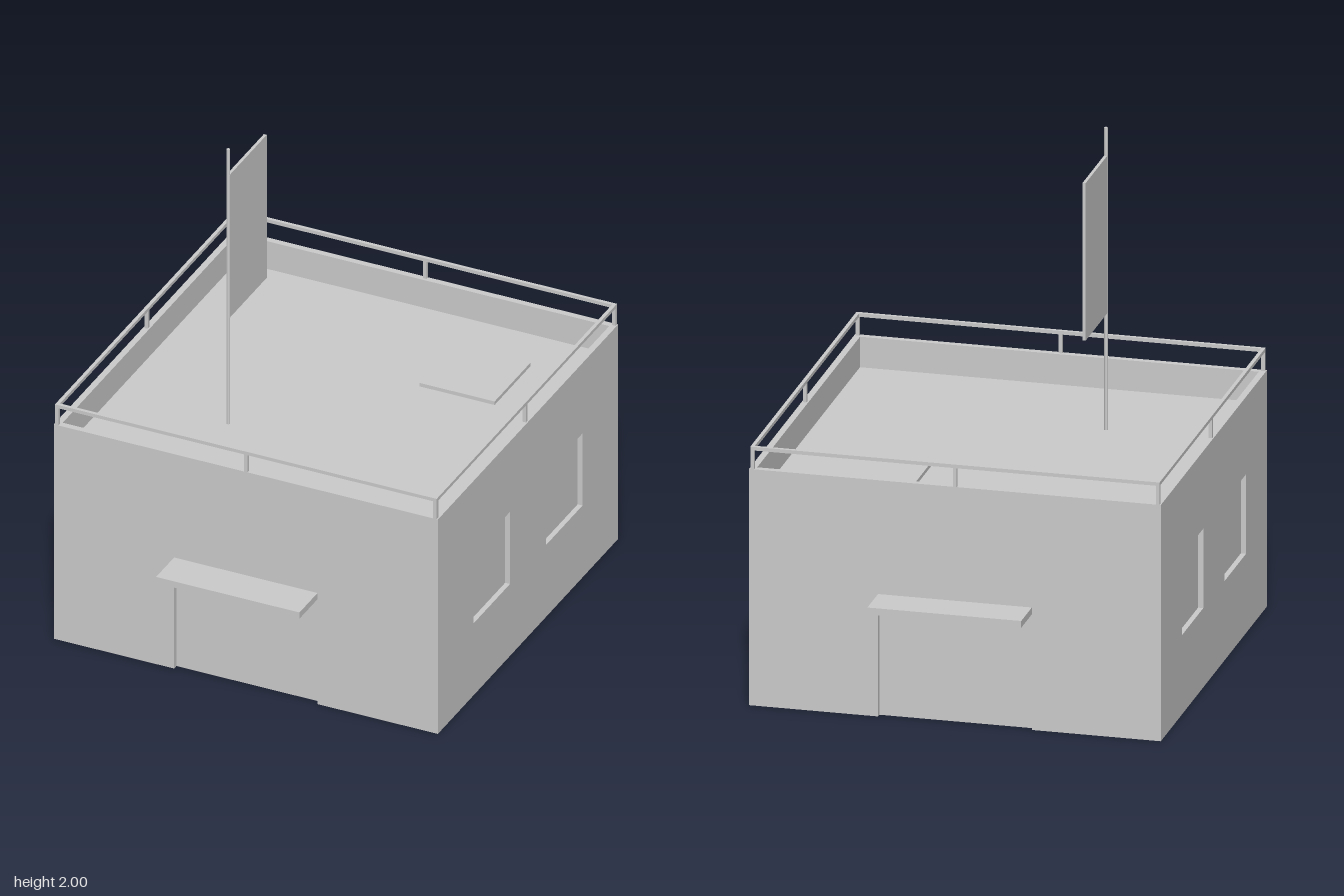
import * as THREE from 'three';

const X = 0.79, Z = 0.775;      // outer half sizes of the house
const H = 0.93, T = 0.025;      // wall height and thickness
const ROOF = 0.81, RECESS = 0.02;
const DOOR = { x: 0.295, y: 0.455 };
const RAIL = 0.014, RAIL_TOP = 1.018;

const grey = new THREE.MeshStandardMaterial({ color: 0xcccccc, flatShading: true });

function add(parent, name, geometry, x = 0, y = 0, z = 0) {
  const mesh = new THREE.Mesh(geometry, grey);
  mesh.name = name;
  mesh.position.set(x, y, z);
  parent.add(mesh);
  return mesh;
}

// Box given by its minimum and maximum corners
function box(parent, name, [x0, y0, z0], [x1, y1, z1]) {
  return add(parent, name, new THREE.BoxGeometry(x1 - x0, y1 - y0, z1 - z0),
    (x0 + x1) / 2, (y0 + y1) / 2, (z0 + z1) / 2);
}

// Wall slab whose outer face lies on local z = 0
function wall(parent, name, points, holes = []) {
  const shape = new THREE.Shape(points.map(([x, y]) => new THREE.Vector2(x, y)));
  for (const [x0, y0, x1, y1] of holes) {
    shape.holes.push(new THREE.Path([[x0, y0], [x0, y1], [x1, y1], [x1, y0]]
      .map(([x, y]) => new THREE.Vector2(x, y))));
  }
  const geometry = new THREE.ExtrudeGeometry(shape, { depth: T, bevelEnabled: false });
  geometry.translate(0, 0, -T);
  return add(parent, name, geometry);
}

// Wall with a recessed door and a canopy above it
function doorSide(name) {
  const side = new THREE.Group();
  side.name = name;
  const { x, y } = DOOR;
  wall(side, 'doorWall', [[-X, 0], [-x, 0], [-x, y], [x, y], [x, 0], [X, 0], [X, H], [-X, H]]);
  box(side, 'door', [-x, 0, -RECESS - T], [x, y, -RECESS]);
  box(side, 'canopy', [-x, y, 0], [x, y + 0.027, 0.155]);
  return side;
}

// Wall with two recessed windows
function windowSide(name) {
  const side = new THREE.Group();
  side.name = name;
  const w = Z - T;
  const windows = [[-0.468, 0.312, -0.155, 0.625], [0.155, 0.312, 0.468, 0.625]];
  wall(side, 'windowWall', [[-w, 0], [w, 0], [w, H], [-w, H]], windows);
  for (const [x0, y0, x1, y1] of windows) {
    box(side, 'windowPane', [x0, y0, -RECESS - T], [x1, y1, -RECESS]);
  }
  return side;
}

export function createModel() {
  const model = new THREE.Group();
  model.name = 'flatRoofHouse';

  // Four walls, open underneath
  for (const s of [1, -1]) {
    const doors = doorSide(s > 0 ? 'frontSide' : 'backSide');
    doors.position.z = s * Z;
    doors.rotation.y = s > 0 ? 0 : Math.PI;
    const windows = windowSide(s > 0 ? 'leftSide' : 'rightSide');
    windows.position.x = s * X;
    windows.rotation.y = s * Math.PI / 2;
    model.add(doors, windows);
  }

  // Sunken roof and its hatch
  box(model, 'roof', [-X + T, ROOF - T, -Z + T], [X - T, ROOF, Z - T]);
  box(model, 'roofHatch', [0.23, ROOF, -0.543], [0.54, ROOF + 0.015, -0.235]);

  // Railing around the top of the walls
  const railing = new THREE.Group();
  railing.name = 'railing';
  model.add(railing);
  const rx = X - 0.012, rz = Z - RAIL / 2, r = RAIL / 2;
  for (const s of [1, -1]) {
    box(railing, 'longRail', [-rx - r, RAIL_TOP - RAIL, s * rz - r], [rx + r, RAIL_TOP, s * rz + r]);
    box(railing, 'sideRail', [s * rx - r, RAIL_TOP - RAIL, -rz + r], [s * rx + r, RAIL_TOP, rz - r]);
  }
  for (const i of [-1, 0, 1]) for (const k of [-1, 0, 1]) {
    if (i === 0 && k === 0) continue;
    box(railing, 'railPost', [i * rx - r, H, k * rz - r], [i * rx + r, RAIL_TOP - RAIL, k * rz + r]);
  }

  // Flagpole through the roof, with a stiff flag
  const poleX = -0.294, poleZ = 0.311, poleBase = ROOF - T - 0.015;
  add(model, 'flagpole', new THREE.CylinderGeometry(0.007, 0.007, 2 - poleBase, 8),
    poleX, (2 + poleBase) / 2, poleZ);
  box(model, 'flag', [poleX - 0.006, 1.27, -0.007], [poleX + 0.006, 1.89, poleZ + 0.004]);

  return model;
}
